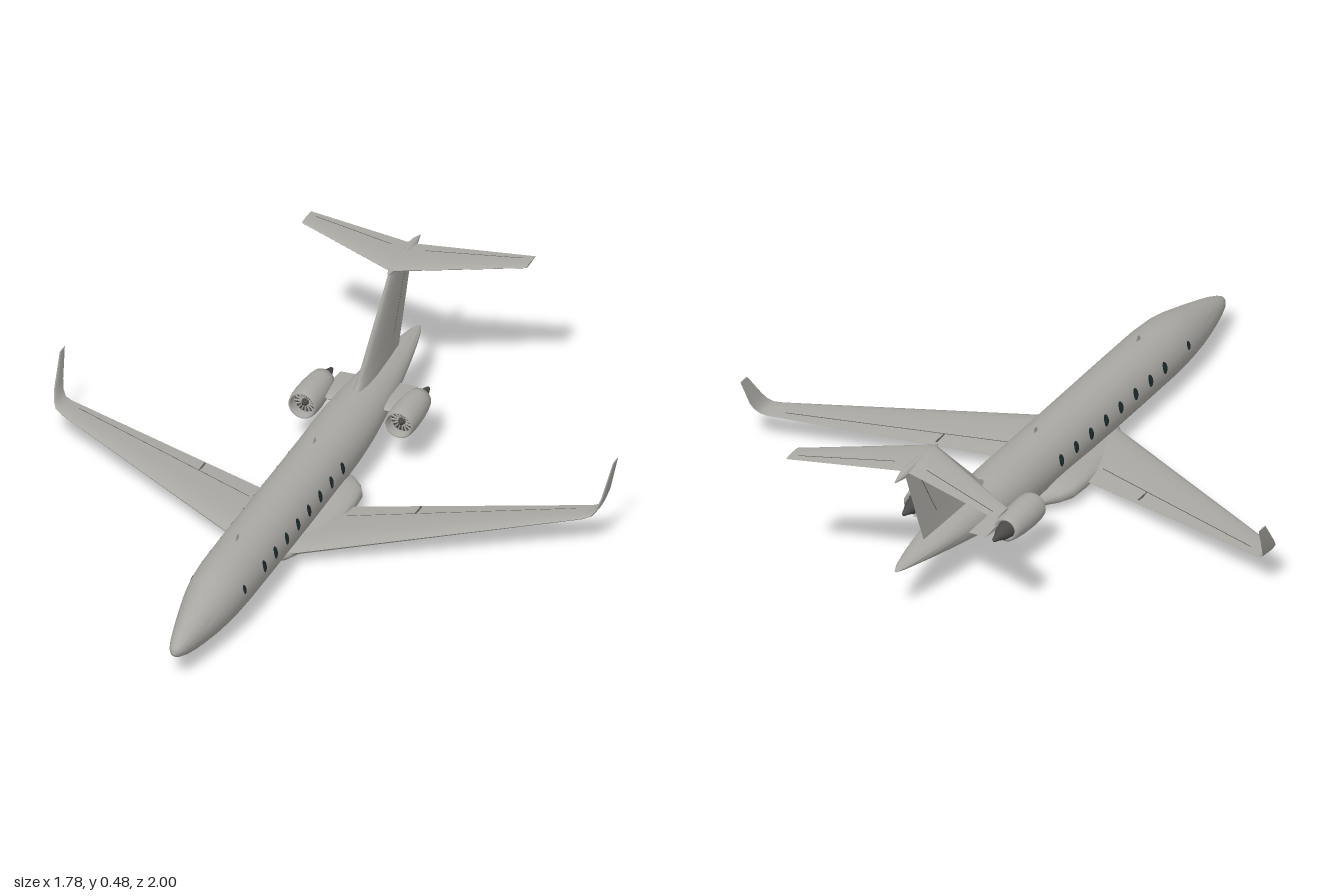
import * as THREE from 'three';
import { toCreasedNormals } from 'three/addons/utils/BufferGeometryUtils.js';

const material = (name, color, side = THREE.FrontSide) => {
  const m = new THREE.MeshStandardMaterial({ color, side });
  m.name = name;
  return m;
};
const lerp = THREE.MathUtils.lerp;

// Closed skin over rings of points, capped at both ends and wound outwards
function loft(rings, crease = 0.7) {
  const n = rings[0].length, pos = [], idx = [];
  rings.forEach(r => r.forEach(p => pos.push(...p)));
  for (let i = 0; i < rings.length - 1; i++) {
    for (let j = 0; j < n; j++) {
      const a = i * n + j, b = i * n + (j + 1) % n;
      idx.push(a, b, b + n, a, b + n, a + n);
    }
  }
  const end = (rings.length - 1) * n;
  for (let j = 1; j < n - 1; j++) idx.push(0, j + 1, j, end, end + j, end + j + 1);
  let volume = 0;
  const v = k => new THREE.Vector3().fromArray(pos, idx[k] * 3);
  for (let k = 0; k < idx.length; k += 3) volume += v(k).dot(v(k + 1).cross(v(k + 2)));
  if (volume < 0) idx.reverse();
  const g = new THREE.BufferGeometry();
  g.setAttribute('position', new THREE.Float32BufferAttribute(pos, 3));
  g.setIndex(idx);
  return toCreasedNormals(g, crease);
}

// Fuselage stations: z, half width, bottom, top
const BODY = [
  [1, 0.004, 0.085, 0.096], [0.992, 0.015, 0.076, 0.108], [0.975, 0.024, 0.067, 0.117],
  [0.94, 0.035, 0.055, 0.131], [0.89, 0.047, 0.044, 0.147], [0.84, 0.058, 0.037, 0.161],
  [0.78, 0.07, 0.031, 0.177], [0.72, 0.08, 0.028, 0.193], [0.66, 0.087, 0.026, 0.204],
  [0.58, 0.091, 0.025, 0.21], [0.4, 0.092, 0.025, 0.211], [-0.2, 0.092, 0.025, 0.211],
  [-0.3, 0.092, 0.031, 0.211], [-0.4, 0.09, 0.044, 0.21], [-0.5, 0.083, 0.062, 0.206],
  [-0.6, 0.073, 0.082, 0.201], [-0.7, 0.061, 0.102, 0.194], [-0.8, 0.046, 0.122, 0.184],
  [-0.88, 0.031, 0.138, 0.175], [-0.94, 0.017, 0.149, 0.167], [-0.972, 0.004, 0.156, 0.16],
];
function bodyAt(z) {
  const i = Math.max(1, BODY.findIndex(s => s[0] <= z));
  const a = BODY[i - 1], b = BODY[i], t = (a[0] - z) / (a[0] - b[0]);
  return a.map((q, k) => lerp(q, b[k], t));
}
// Oval ring across z; power below 1 squares it off
function oval([z, hw, bottom, top], power = 1, n = 36) {
  const f = q => Math.sign(q) * Math.abs(q) ** power;
  return Array.from({ length: n }, (_, i) => {
    const a = i / n * Math.PI * 2;
    return [hw * f(Math.cos(a)), (top + bottom) / 2 + (top - bottom) / 2 * f(Math.sin(a)), z];
  });
}

// Aerofoil station: x, y, leading edge z, chord, thickness, lean of the surface normal
const half = s => 5 * (0.2969 * Math.sqrt(s) - 0.126 * s - 0.3516 * s * s + 0.2843 * s ** 3 - 0.1015 * s ** 4);
function foilPoint([x, y, z, chord, thick, lean], s, side, lift = 0) {
  const d = side * (half(s) * thick + lift);
  return [x - Math.sin(lean) * d, y + Math.cos(lean) * d, z - chord * s];
}
function foilRing(st) {
  const cuts = [0.02, 0.08, 0.2, 0.4, 0.72];
  return [foilPoint(st, 1, 1), ...[...cuts].reverse().map(s => foilPoint(st, s, 1)),
    foilPoint(st, 0, 1), ...cuts.map(s => foilPoint(st, s, -1)), foilPoint(st, 1, -1)];
}
const between = (a, b, t) => a.map((q, k) => lerp(q, b[k], t));
// Thin hinge line on a foil surface
function hingeLine(a, b, side, s = 0.72) {
  const w = 0.0015, p = [a, b].flatMap(st => [-1, 1].map(e => foilPoint(st, s + e * w / st[3], side, 0.0008)));
  const g = new THREE.BufferGeometry();
  g.setAttribute('position', new THREE.Float32BufferAttribute(p.flat(), 3));
  g.setIndex([0, 1, 3, 0, 3, 2]);
  g.computeVertexNormals();
  return g;
}
const mirrorStation = (st, m) => [st[0] * m, st[1], st[2], st[3], st[4], st[5] * m];

export function createModel() {
  const model = new THREE.Group();
  model.name = 'businessJet';
  const skin = material('paintedSkin', 0xaaa8a3);
  const glass = material('windowGlass', 0x1c2c2e, THREE.DoubleSide);
  const dark = material('darkMetal', 0x4c4a48);
  const line = material('panelLine', 0x5a5855, THREE.DoubleSide);
  const add = (name, geometry, mat, parent = model) => {
    const mesh = new THREE.Mesh(geometry, mat);
    mesh.name = name;
    parent.add(mesh);
    return mesh;
  };

  // Fuselage and belly fairing
  add('fuselage', loft(BODY.map(s => oval(s))), skin);
  const belly = [
    [0.3, 0.03, 0.028, 0.05], [0.26, 0.07, 0.02, 0.06], [0.2, 0.098, 0.015, 0.066],
    [0.1, 0.128, 0.012, 0.072], [0, 0.146, 0.012, 0.08], [-0.08, 0.15, 0.012, 0.086],
    [-0.15, 0.146, 0.013, 0.086], [-0.19, 0.125, 0.016, 0.08], [-0.23, 0.09, 0.021, 0.07], [-0.27, 0.04, 0.03, 0.055],
  ];
  add('bellyFairing', loft(belly.map(s => oval(s, 0.75))), skin);

  // Cabin windows, bent to the hull
  const windows = [0.645, 0.495, 0.408, 0.318, 0.228, 0.14, 0.05, -0.04, -0.13];
  for (const m of [1, -1]) {
    windows.forEach((wz, i) => {
      const k = i ? 1 : 0.75;
      const g = new THREE.CircleGeometry(1, 20).scale(0.0125 * k, 0.019 * k, 1);
      const p = g.attributes.position;
      for (let j = 0; j < p.count; j++) {
        const z = wz + p.getX(j), y = 0.139 + p.getY(j);
        const [, hw, lo, hi] = bodyAt(z);
        const u = (y - (hi + lo) / 2) / ((hi - lo) / 2);
        p.setXYZ(j, m * (hw * Math.sqrt(1 - u * u) + 0.0015), y, z);
      }
      // Turn the faces outwards on the left side
      if (m > 0) g.index.array.reverse();
      g.computeVertexNormals();
      add('cabinWindow', g, glass);
    });
  }

  // Wings with upswept winglets
  const wing = [
    [0.03, 0.043, 0.274, 0.32, 0.036, 0], [0.09, 0.047, 0.24, 0.295, 0.034, 0.06],
    [0.835, 0.097, -0.183, 0.089, 0.011, 0.07], [0.858, 0.103, -0.198, 0.081, 0.009, 0.5],
    [0.87, 0.118, -0.213, 0.078, 0.008, 1.0], [0.878, 0.145, -0.235, 0.072, 0.007, 1.3],
    [0.888, 0.234, -0.305, 0.04, 0.004, 1.45],
  ];
  const stab = [
    [0, 0.474, -0.735, 0.185, 0.018, 0], [0.02, 0.473, -0.745, 0.172, 0.018, -0.04],
    [0.36, 0.458, -0.927, 0.075, 0.007, -0.04],
  ];
  for (const m of [1, -1]) {
    const side = m > 0 ? 'left' : 'right';
    const w = wing.map(s => mirrorStation(s, m));
    const t = stab.map(s => mirrorStation(s, m));
    add(side + 'Wing', loft(w.map(foilRing)), skin);
    add(side + 'Tailplane', loft(t.map(foilRing)), skin);
    for (const face of [1, -1]) {
      add(side + 'FlapLine', hingeLine(between(w[1], w[2], 0.09), between(w[1], w[2], 0.95), face), line);
      add(side + 'ElevatorLine', hingeLine(between(t[1], t[2], 0.1), between(t[1], t[2], 0.92), face), line);
    }
    // Flap and aileron joint
    const joint = between(w[1], w[2], 0.345);
    const gap = add(side + 'FlapJoint', new THREE.BoxGeometry(0.004, 0.003, 0.055), line);
    gap.position.set(joint[0], joint[1] + 0.006, joint[2] - joint[3] * 0.82);

    // Engine pod: nacelle, fan, exhaust cone and pylon
    const pod = new THREE.Group();
    pod.name = side + 'Engine';
    pod.position.set(0.155 * m, 0.148, -0.5);
    model.add(pod);
    const lathe = pts => new THREE.LatheGeometry(pts.map(p => new THREE.Vector2(...p)), 32).rotateX(Math.PI / 2);
    add('nacelle', lathe([[0.028, -0.078], [0.037, -0.085], [0.042, -0.06], [0.046, -0.02], [0.048, 0.03], [0.047, 0.065],
      [0.044, 0.083], [0.041, 0.088], [0.038, 0.085], [0.036, 0.07], [0.036, 0.05]]), skin, pod);
    add('fanDisc', lathe([[0.037, 0.052], [0.012, 0.055], [0.008, 0.068], [0, 0.075]]), dark, pod);
    for (let i = 0; i < 16; i++) {
      const blade = add('fanBlade', new THREE.BoxGeometry(0.003, 0.024, 0.006).translate(0, 0.024, 0), skin, pod);
      blade.position.z = 0.056;
      blade.rotation.z = i * Math.PI / 8;
    }
    add('exhaustCone', lathe([[0, -0.158], [0.006, -0.152], [0.014, -0.125], [0.022, -0.105], [0.027, -0.08], [0.029, -0.07]]), dark, pod);
    const pylon = [[0.04, 0.148, -0.475, 0.175, 0.022, 0], [0.125, 0.148, -0.485, 0.163, 0.018, 0]];
    add(side + 'Pylon', loft(pylon.map(s => foilRing(mirrorStation(s, m)))), skin);
  }

  // Fin with swept root fillet, rudder line and tail bullet
  const up = Math.PI / 2;
  const fin = [
    [0, 0.17, -0.39, 0.41, 0.04, up], [0, 0.205, -0.44, 0.372, 0.038, up], [0, 0.225, -0.475, 0.345, 0.033, up],
    [0, 0.255, -0.505, 0.328, 0.029, up], [0, 0.47, -0.728, 0.19, 0.016, up],
  ];
  add('fin', loft(fin.map(foilRing)), skin);
  for (const face of [1, -1]) {
    add('rudderLine', hingeLine(between(fin[3], fin[4], 0), between(fin[3], fin[4], 0.85), face), line);
  }
  const bullet = [
    [-0.72, 0.003, 0.466, 0.472], [-0.74, 0.009, 0.461, 0.479], [-0.8, 0.012, 0.458, 0.484],
    [-0.88, 0.014, 0.456, 0.485], [-0.93, 0.012, 0.458, 0.481], [-0.975, 0.002, 0.465, 0.47],
  ];
  add('tailBullet', loft(bullet.map(s => oval(s, 1, 16))), skin);

  // Blade aerials above and below the hull: z, y
  for (const [z, y] of [[0.495, 0.215], [-0.125, 0.215], [0.55, 0.02], [-0.215, 0.013], [-0.295, 0.022]]) {
    const d = y > 0.1 ? 1 : -1;
    const blade = [[0, y - d * 0.012, z + 0.012, 0.026, 0.005, up], [0, y + d * 0.012, z + 0.002, 0.014, 0.003, up]];
    add('bladeAerial', loft(blade.map(foilRing)), skin);
  }
  return model;
}
